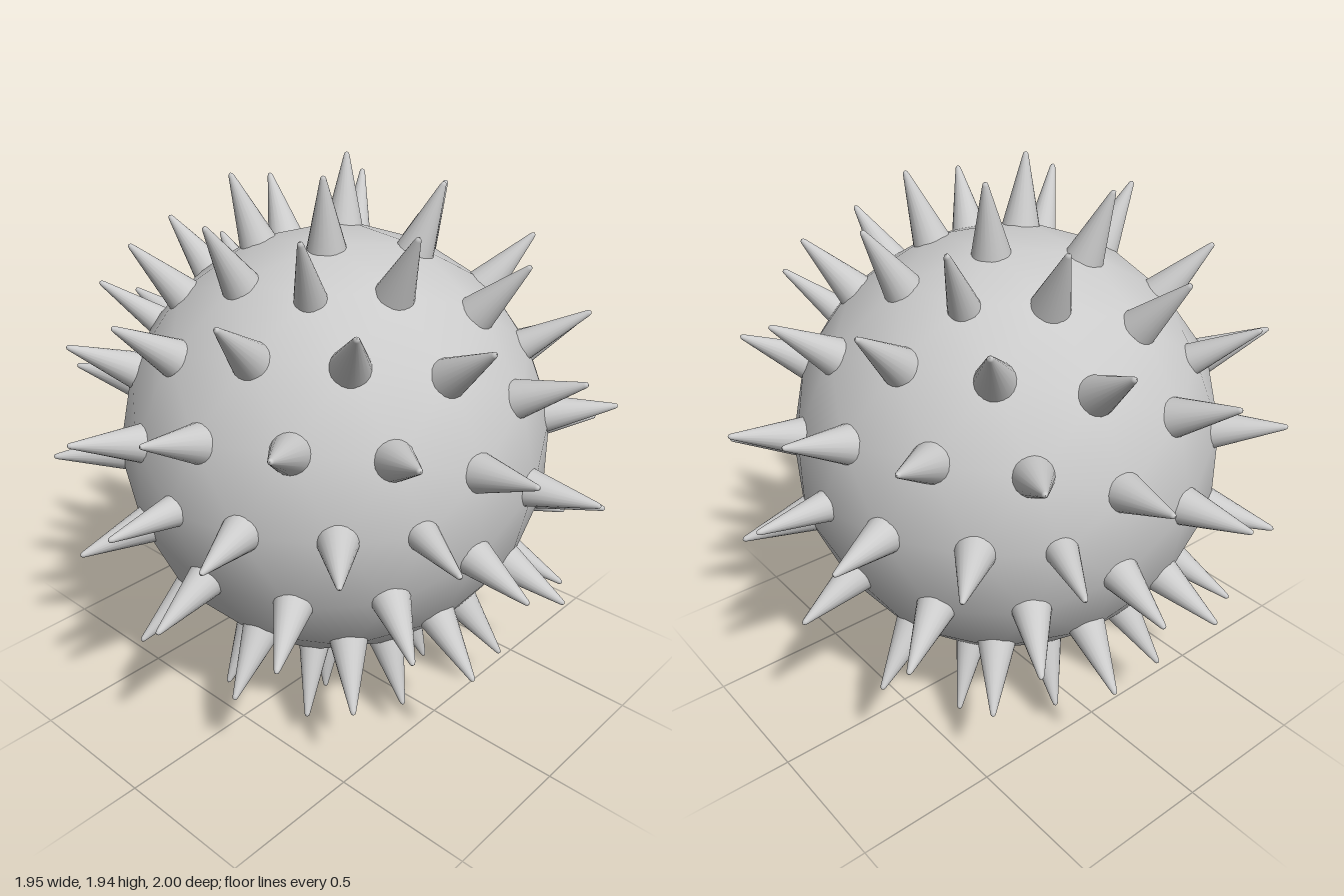
import * as THREE from 'three';
import { mergeVertices } from 'three/addons/utils/BufferGeometryUtils.js';

const BODY_R = 0.765;
const CENTRE_Y = 0.972;

// Icosahedral sphere with shared vertices, turned so one five-fold corner faces +z and another lies in the xz plane
function icoSphere(radius, detail) {
  const g = new THREE.IcosahedronGeometry(radius, detail);
  g.deleteAttribute('uv');
  g.deleteAttribute('normal');
  g.rotateX(Math.atan(2 / (1 + Math.sqrt(5))));
  g.rotateZ(Math.PI / 2);
  const merged = mergeVertices(g, 1e-3);
  merged.computeVertexNormals();
  return merged;
}

function directions(geometry) {
  const p = geometry.attributes.position;
  return Array.from({ length: p.count }, (_, i) => new THREE.Vector3().fromBufferAttribute(p, i).normalize());
}

// Cone with a small rounded tip; y is the distance from the body's centre
function spikeGeometry(baseR, tip) {
  const tipR = 0.01;
  const profile = [
    [0, 0.72], [baseR * 1.08, 0.72], [baseR, 0.75],
    [tipR, tip - 0.012], [tipR * 0.7, tip - 0.004], [0, tip],
  ].map(([x, y]) => new THREE.Vector2(x, y));
  return new THREE.LatheGeometry(profile, 20);
}

export function createModel() {
  const group = new THREE.Group();
  group.name = 'spikyBall';
  const material = new THREE.MeshStandardMaterial({ color: 0xcccccc });

  const core = new THREE.Group();
  core.name = 'core';
  core.position.y = CENTRE_Y;
  group.add(core);

  // Round body
  const bodyGeometry = icoSphere(BODY_R, 2);
  const body = new THREE.Mesh(bodyGeometry, material);
  body.name = 'body';
  core.add(body);

  // One spike on every body vertex; the twelve five-fold corners carry slimmer ones
  const corners = directions(icoSphere(1, 0));
  const slim = spikeGeometry(0.053, 1.0);
  const wide = spikeGeometry(0.064, 0.992);
  const up = new THREE.Vector3(0, 1, 0);
  for (const dir of directions(bodyGeometry)) {
    const isCorner = corners.some((c) => c.dot(dir) > 0.999);
    const spike = new THREE.Mesh(isCorner ? slim : wide, material);
    spike.name = isCorner ? 'cornerSpike' : 'spike';
    spike.quaternion.setFromUnitVectors(up, dir);
    core.add(spike);
  }
  return group;
}
